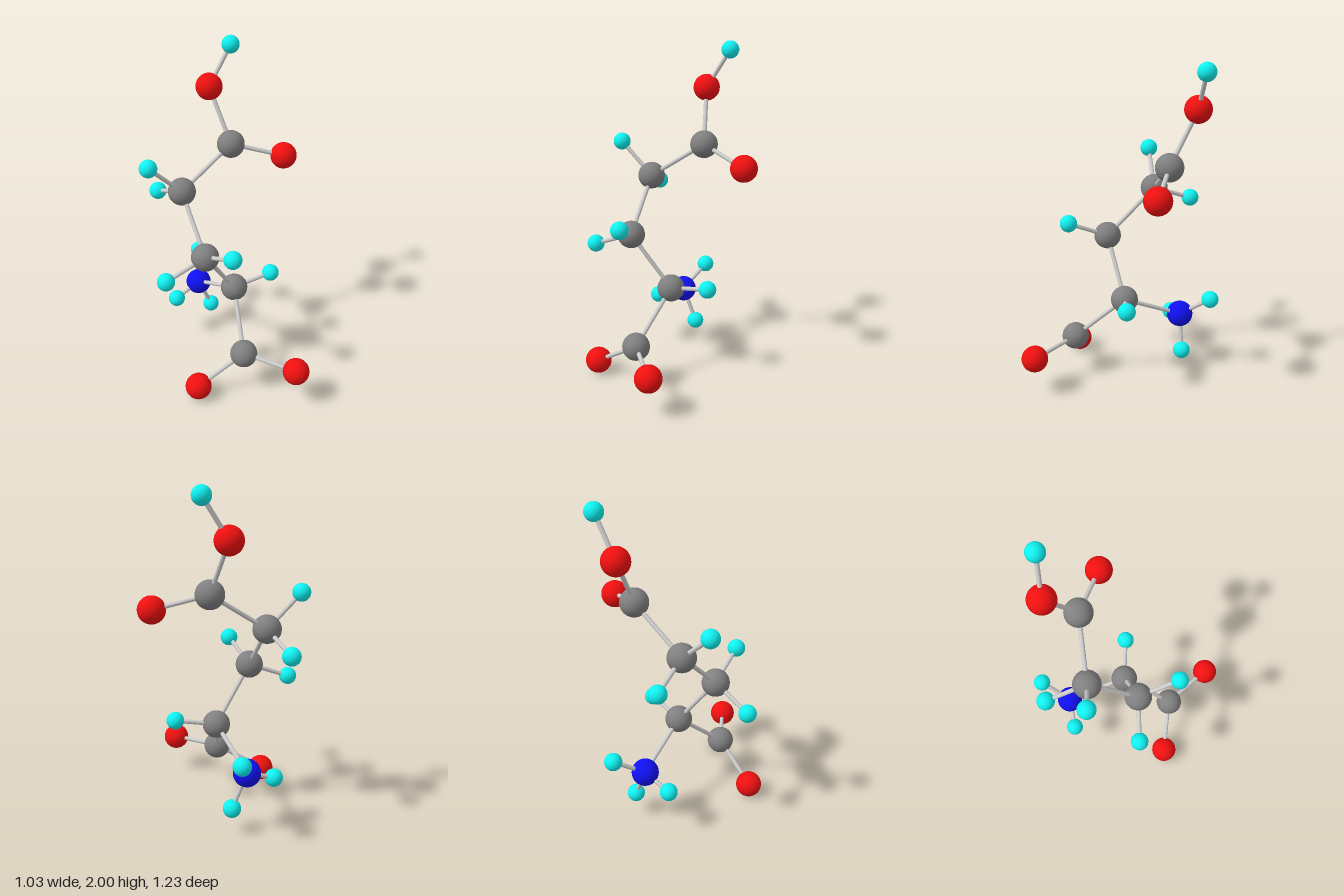
import * as THREE from 'three';

// Element styles: name, radius, colour
const ELEMENTS = {
  C: { name: 'carbon', radius: 0.083, color: 0x808080 },
  O: { name: 'oxygen', radius: 0.08, color: 0xf01010 },
  N: { name: 'nitrogen', radius: 0.081, color: 0x1010f0 },
  H: { name: 'hydrogen', radius: 0.053, color: 0x10f0f0 },
};

// Each atom: element, centre, and the index of the atom it is bonded to
const ATOMS = [
  // carbon backbone, top to bottom
  ['C', [0.215, 1.402, -0.195], null],
  ['C', [-0.102, 1.177, -0.322], 0],
  ['C', [-0.225, 0.878, -0.058], 1],
  ['C', [0.015, 0.54, -0.025], 2],
  ['C', [-0.197, 0.26, 0.204], 3],
  // upper acid group
  ['O', [0.237, 1.717, -0.37], 0],
  ['H', [0.37, 1.948, -0.31], 5],
  ['O', [0.432, 1.31, 0.042], 0],
  // hydrogens along the chain
  ['H', [-0.286, 1.376, -0.409], 1],
  ['H', [-0.048, 1.083, -0.564], 1],
  ['H', [-0.283, 0.987, 0.187], 2],
  ['H', [-0.449, 0.782, -0.172], 2],
  ['H', [0.23, 0.582, 0.103], 3],
  // amine group
  ['N', [0.106, 0.378, -0.388], 3],
  ['H', [0.257, 0.508, -0.505], 13],
  ['H', [-0.06, 0.313, -0.442], 13],
  ['H', [0.185, 0.164, -0.349], 13],
  // lower acid group
  ['O', [-0.121, 0.236, 0.535], 4],
  ['O', [-0.437, 0.082, 0.037], 4],
];

const BOND_RADIUS = 0.013;

// Cylinder running between two points
function makeBond(a, b, material) {
  const dir = b.clone().sub(a);
  const geometry = new THREE.CylinderGeometry(BOND_RADIUS, BOND_RADIUS, dir.length(), 16);
  const bond = new THREE.Mesh(geometry, material);
  bond.position.copy(a).add(b).multiplyScalar(0.5);
  bond.quaternion.setFromUnitVectors(new THREE.Vector3(0, 1, 0), dir.normalize());
  return bond;
}

export function createModel() {
  const model = new THREE.Group();
  model.name = 'molecule';
  const atoms = new THREE.Group();
  atoms.name = 'atoms';
  const bonds = new THREE.Group();
  bonds.name = 'bonds';
  model.add(atoms, bonds);

  // One shared sphere and material per element
  const parts = {};
  for (const [symbol, { radius, color }] of Object.entries(ELEMENTS)) {
    parts[symbol] = {
      geometry: new THREE.SphereGeometry(radius, 40, 28),
      material: new THREE.MeshStandardMaterial({ color }),
    };
  }
  const bondMaterial = new THREE.MeshStandardMaterial({ color: 0xcccccc });
  const centres = ATOMS.map(([, p]) => new THREE.Vector3(...p));

  ATOMS.forEach(([symbol, , parent], i) => {
    const atom = new THREE.Mesh(parts[symbol].geometry, parts[symbol].material);
    atom.name = `${ELEMENTS[symbol].name}Atom`;
    atom.position.copy(centres[i]);
    atoms.add(atom);

    if (parent === null) return;
    const bond = makeBond(centres[parent], centres[i], bondMaterial);
    bond.name = `${ELEMENTS[ATOMS[parent][0]].name}To${symbol}Bond`;
    bonds.add(bond);
  });

  return model;
}
